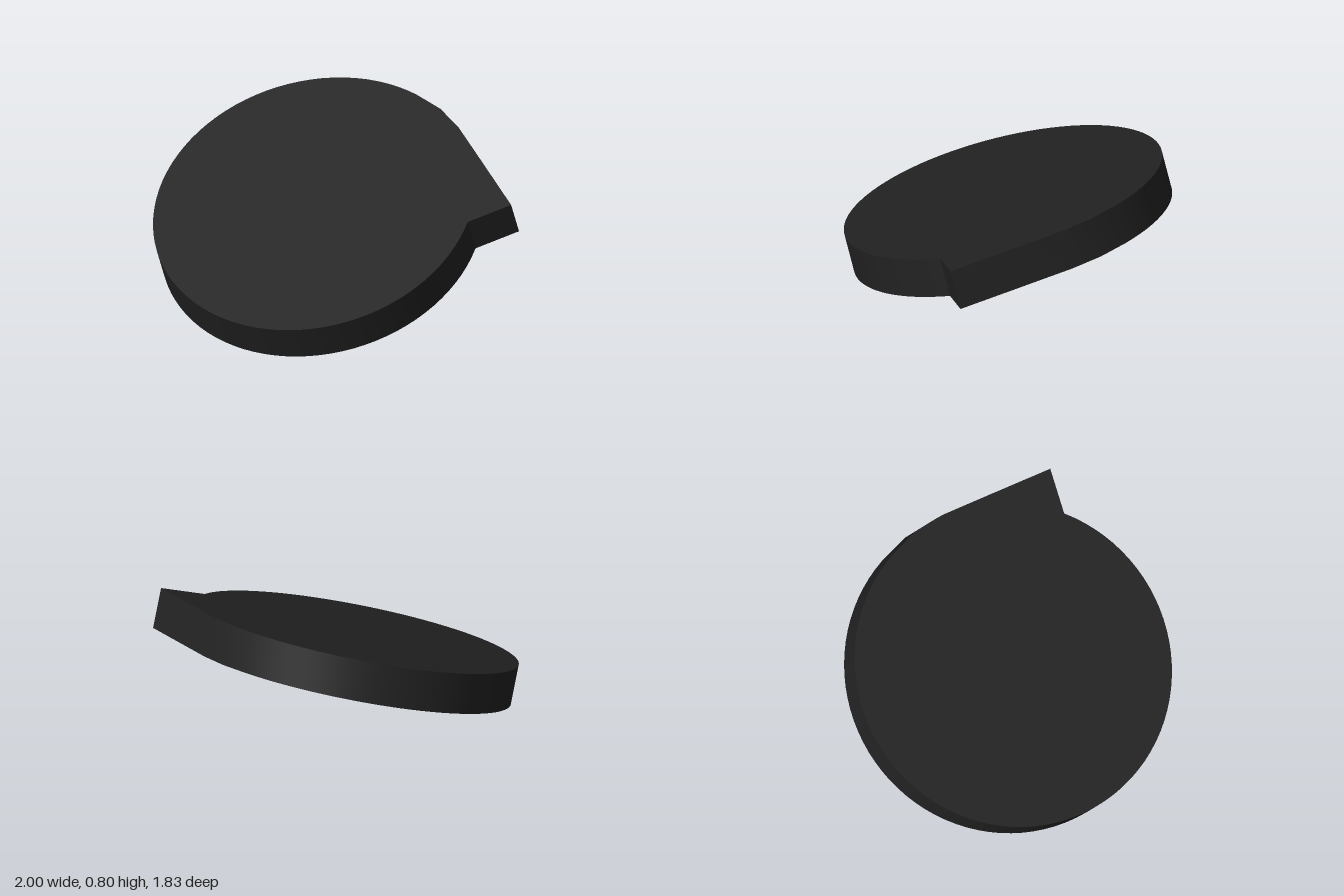
import * as THREE from 'three';
import { toCreasedNormals } from 'three/addons/utils/BufferGeometryUtils.js';

const SLOPE = 0.235;      // rise along +x and along -z
const RADIUS = 0.915;
const THICKNESS = 0.23;
const CENTRE = new THREE.Vector3(-0.1075, 0.506, 0.0225); // centre of the top face

export function createModel() {
  const group = new THREE.Group();
  group.name = 'tiltedDisc';

  // axes of the tilted plane
  const n = new THREE.Vector3(-SLOPE, 1, SLOPE).normalize();
  const u = new THREE.Vector3(1, SLOPE, 0).normalize();
  const w = new THREE.Vector3().crossVectors(n, u);

  // ground position (x, z) of a top-face point to plane coordinates
  const toPlane = (x, z) => {
    const dx = x - CENTRE.x, dz = z - CENTRE.z;
    const p = new THREE.Vector3(dx, SLOPE * (dx - dz), dz);
    return new THREE.Vector2(p.dot(u), p.dot(w));
  };

  // outline: pointed tip and its flank, then the round rim back to the notch
  const flank = [[0.95, 0.405], [0.835, 0.05], [0.74, -0.24], [0.66, -0.405]]
    .map(([x, z]) => toPlane(x, z));
  const start = toPlane(0.55, -0.555).angle();
  const end = toPlane(0.705, 0.445).angle();
  const sweep = (end - start + Math.PI * 2) % (Math.PI * 2);
  const outline = [...flank];
  const steps = 72;
  for (let i = 0; i <= steps; i++) {
    const a = start + sweep * i / steps;
    outline.push(new THREE.Vector2(Math.cos(a), Math.sin(a)).multiplyScalar(RADIUS));
  }

  // slab with smooth rim and sharp edges, tilted into place
  const slab = new THREE.ExtrudeGeometry(new THREE.Shape(outline), {
    depth: THICKNESS, bevelEnabled: false,
  });
  slab.translate(0, 0, -THICKNESS);
  slab.applyMatrix4(new THREE.Matrix4().makeBasis(u, w, n).setPosition(CENTRE));

  const mesh = new THREE.Mesh(
    toCreasedNormals(slab, 0.5),
    new THREE.MeshStandardMaterial({ color: 0x222222 })
  );
  mesh.name = 'pointedDisc';
  group.add(mesh);
  return group;
}
